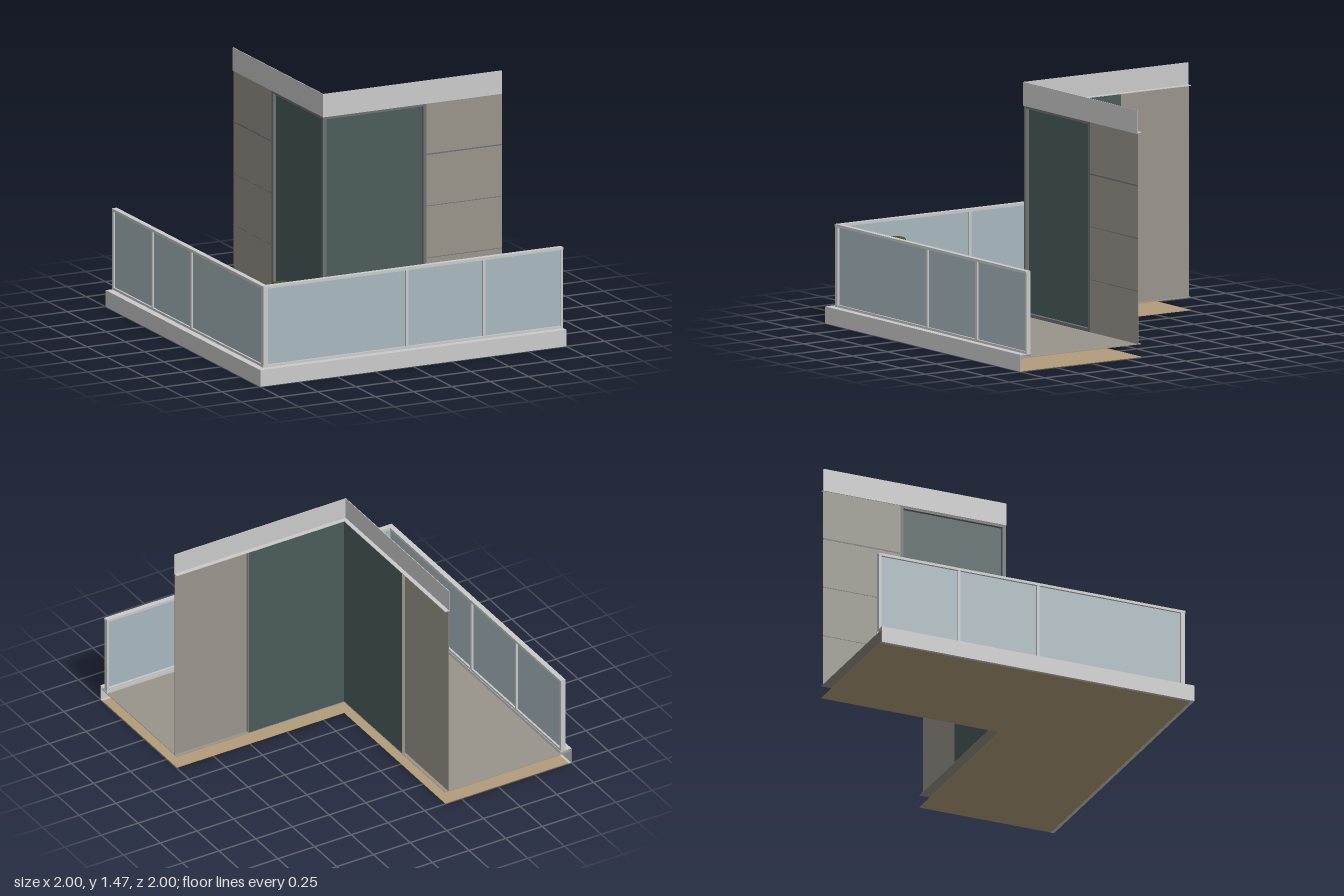
import * as THREE from 'three';

export function createModel() {
  const root = new THREE.Group();
  const paint = (name, color) => {
    const m = new THREE.MeshStandardMaterial({ color, side: THREE.DoubleSide, flatShading: true });
    m.name = name;
    return m;
  };
  const concrete = paint('lightConcrete', 0xcacaca);
  const stone = paint('warmStone', 0x99948b);
  const timber = paint('tanSoffit', 0xb29d7a);
  const railGlass = paint('railingGlass', 0xa8b8be);
  const doorGlass = paint('doorGlass', 0x4a5b5b);
  const darkFrame = paint('darkFrame', 0x6e7073);
  const leaf = paint('leaf', 0x40532f);

  const add = (name, geo, mat) => {
    const mesh = new THREE.Mesh(geo, mat);
    mesh.name = name;
    root.add(mesh);
    return mesh;
  };
  const box = (name, mat, x0, x1, y0, y1, z0, z1) =>
    add(name, new THREE.BoxGeometry(x1 - x0, y1 - y0, z1 - z0), mat)
      .position.set((x0 + x1) / 2, (y0 + y1) / 2, (z0 + z1) / 2);
  // One box on the front wing and its twin across the diagonal on the side wing
  const pair = (name, mat, x0, x1, y0, y1, z0, z1) => {
    box(name + 'Front', mat, x0, x1, y0, y1, z0, z1);
    box(name + 'Side', mat, -z1, -z0, y0, y1, -x1, -x0);
  };

  // L-shaped slabs
  const slab = (name, mat, outer, inner, y) => {
    const s = new THREE.Shape([[-outer, -outer], [1, -outer], [1, -inner], [-inner, -inner], [-inner, 1], [-outer, 1]]
      .map(([x, v]) => new THREE.Vector2(x, v)));
    const g = new THREE.ExtrudeGeometry(s, { depth: 0.003, bevelEnabled: false });
    g.rotateX(-Math.PI / 2);
    add(name, g, mat).position.y = y;
  };
  slab('floor', stone, 0.99, 0.14, 0.078);
  slab('soffit', timber, 0.98, 0.14, 0.001);

  // Curb: outer face, top, inner lip and narrow bottom return
  pair('curbFace', concrete, -1, 1, 0, 0.1, 0.996, 1);
  pair('curbTop', concrete, -1, 1, 0.097, 0.1, 0.927, 1);
  pair('curbLip', concrete, -0.93, 1, 0.08, 0.1, 0.927, 0.93);
  pair('curbBase', concrete, -1, 1, 0, 0.003, 0.98, 1);

  // Railing
  pair('topRail', concrete, -0.96, 1, 0.574, 0.59, 0.928, 0.96);
  pair('bottomRail', concrete, -0.96, 1, 0.1, 0.114, 0.93, 0.958);
  for (const x of [-0.951, -0.018, 0.485, 0.992])
    pair('railingPost', concrete, x - 0.008, x + 0.008, 0.1, 0.58, 0.93, 0.958);
  pair('railingPane', railGlass, -0.945, 0.99, 0.11, 0.578, 0.942, 0.947);

  // Sliding door with its frame
  pair('doorPane', doorGlass, -0.146, 0.507, 0.08, 1.33, 0.142, 0.146);
  pair('doorJamb', darkFrame, -0.168, -0.146, 0.08, 1.33, 0.146, 0.166);
  pair('doorJamb', darkFrame, 0.488, 0.507, 0.08, 1.33, 0.146, 0.166);
  pair('doorHead', darkFrame, -0.168, 0.507, 1.31, 1.33, 0.146, 0.166);
  pair('doorSill', darkFrame, -0.168, 0.507, 0.08, 0.1, 0.146, 0.166);

  // Wall panels with horizontal joints
  pair('wallReturn', stone, 0.507, 0.511, 0.08, 1.33, 0.142, 0.166);
  pair('wall', stone, 0.511, 1, 0.08, 1.33, 0.162, 0.166);
  for (const [y, h] of [[0.393, 0.004], [0.706, 0.004], [1.018, 0.008]])
    pair('wallJoint', darkFrame, 0.511, 1, y - h / 2, y + h / 2, 0.165, 0.167);

  // Parapet with an inner ledge
  pair('parapet', concrete, -0.17, 1, 1.325, 1.466, 0.166, 0.17);
  pair('parapetLedge', concrete, -0.17, 1, 1.33, 1.334, 0.14, 0.167);

  // Faceted shrub
  const profile = [[0, 0.08], [0.08, 0.08], [0.135, 0.21], [0.123, 0.385], [0.057, 0.52], [0, 0.52]]
    .map(([r, y]) => new THREE.Vector2(r, y));
  add('shrub', new THREE.LatheGeometry(profile, 6, Math.PI / 2), leaf).position.set(-0.71, 0, 0.703);

  return root;
}
